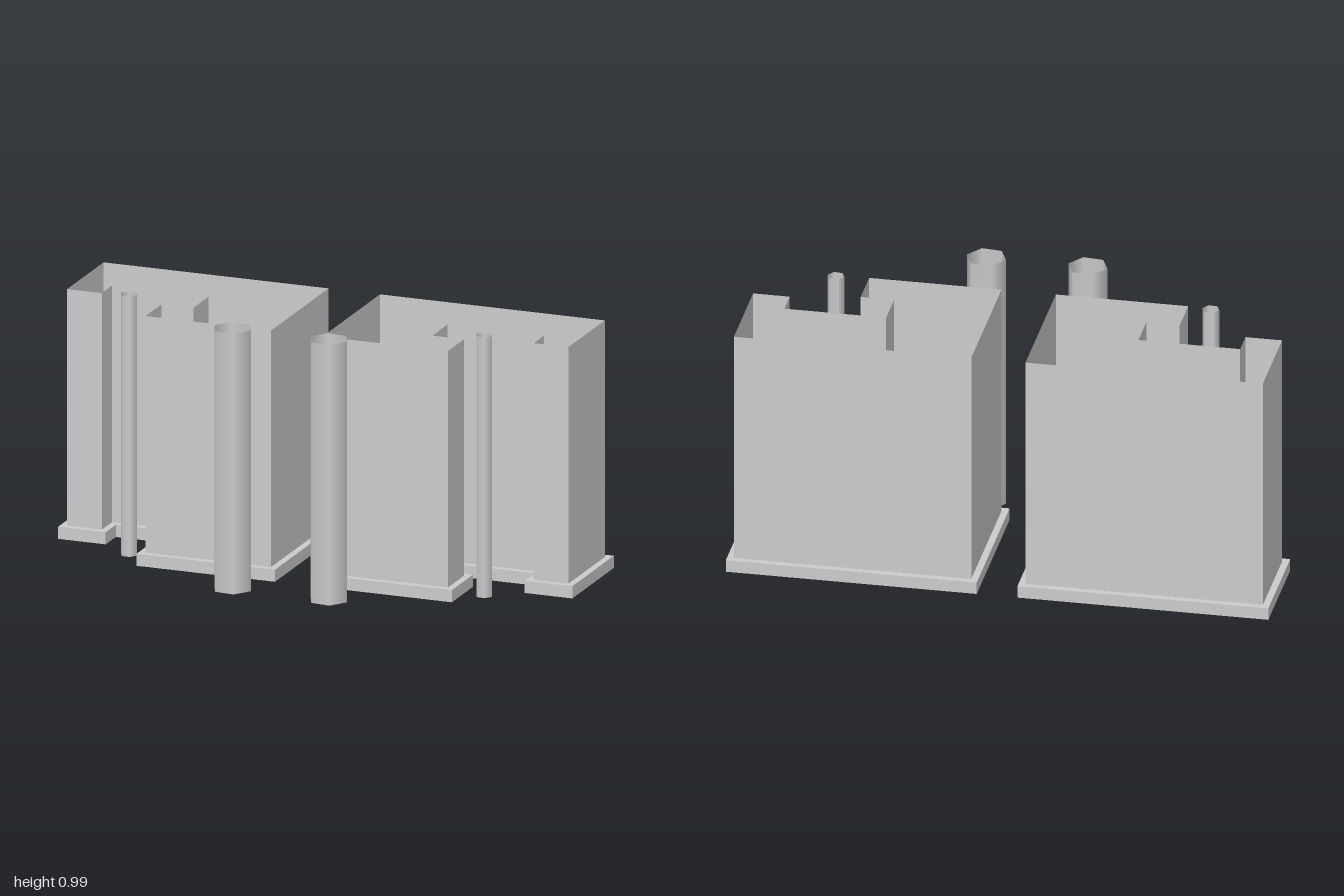
import * as THREE from 'three';

const material = new THREE.MeshStandardMaterial({ color: 0xcccccc, side: THREE.DoubleSide });

const SKIRT_TOP = 0.046, WALL_TOP = 0.94, POST_TOP = 0.985, LIP = 0.025;

// Plan of one block as [x, z] corners, seen from above
const plan = [
  [0.1, -0.381], [0.975, -0.381], [0.975, -0.024], [0.84, -0.024], [0.84, -0.123],
  [0.465, -0.123], [0.465, 0.024], [0.588, 0.024], [0.588, 0.181], [0.1, 0.181],
];

// Push every edge of a right-angled plan outwards by d
function offsetPlan(points, d) {
  const n = points.length;
  return points.map(([x, z], i) => {
    const a = points[(i + n - 1) % n], b = points[(i + 1) % n];
    const inX = Math.sign(x - a[0]), inZ = Math.sign(z - a[1]);
    const outX = Math.sign(b[0] - x), outZ = Math.sign(b[1] - z);
    return [x + d * (inZ + outZ), z - d * (inX + outX)];
  });
}

// Thin flat-faced band between two plans at two heights
function band(lower, y0, upper, y1) {
  const pos = [];
  lower.forEach((p, i) => {
    const j = (i + 1) % lower.length;
    const a = [p[0], y0, p[1]], b = [lower[j][0], y0, lower[j][1]];
    const c = [upper[j][0], y1, upper[j][1]], d = [upper[i][0], y1, upper[i][1]];
    pos.push(...a, ...c, ...b, ...a, ...d, ...c);
  });
  const g = new THREE.BufferGeometry();
  g.setAttribute('position', new THREE.Float32BufferAttribute(pos, 3));
  g.computeVertexNormals();
  return g;
}

function addMesh(parent, name, geometry) {
  const mesh = new THREE.Mesh(geometry, material);
  mesh.name = name;
  parent.add(mesh);
  return mesh;
}

// Open six-sided tube standing on the ground
function addPost(parent, name, x, z, radius) {
  const g = new THREE.CylinderGeometry(radius, radius, POST_TOP, 6, 1, true);
  g.rotateY(Math.PI / 2 - THREE.MathUtils.degToRad(6));
  addMesh(parent, name, g).position.set(x, POST_TOP / 2, z);
}

export function createModel() {
  const model = new THREE.Group();
  model.name = 'pairedBlocks';

  for (const [side, s] of [['left', 1], ['right', -1]]) {
    const block = new THREE.Group();
    block.name = side + 'Block';
    model.add(block);

    // Mirrored plans are reversed so the faces still look outwards
    const mirror = (pts) => (s > 0 ? pts : pts.map(([x, z]) => [-x, z]).reverse());
    const wall = mirror(plan);
    const skirt = mirror(offsetPlan(plan, LIP));

    // Open-topped walls and the stepped plinth around their foot
    addMesh(block, side + 'Walls', band(wall, SKIRT_TOP, wall, WALL_TOP));
    addMesh(block, side + 'PlinthSide', band(skirt, 0, skirt, SKIRT_TOP));
    addMesh(block, side + 'PlinthLedge', band(skirt, SKIRT_TOP, wall, SKIRT_TOP));

    // Free-standing columns in front
    addPost(block, side + 'Column', s * 0.187, 0.34, 0.0745);
    addPost(block, side + 'ThinPost', s * 0.691, 0.086, 0.032);
  }
  return model;
}
